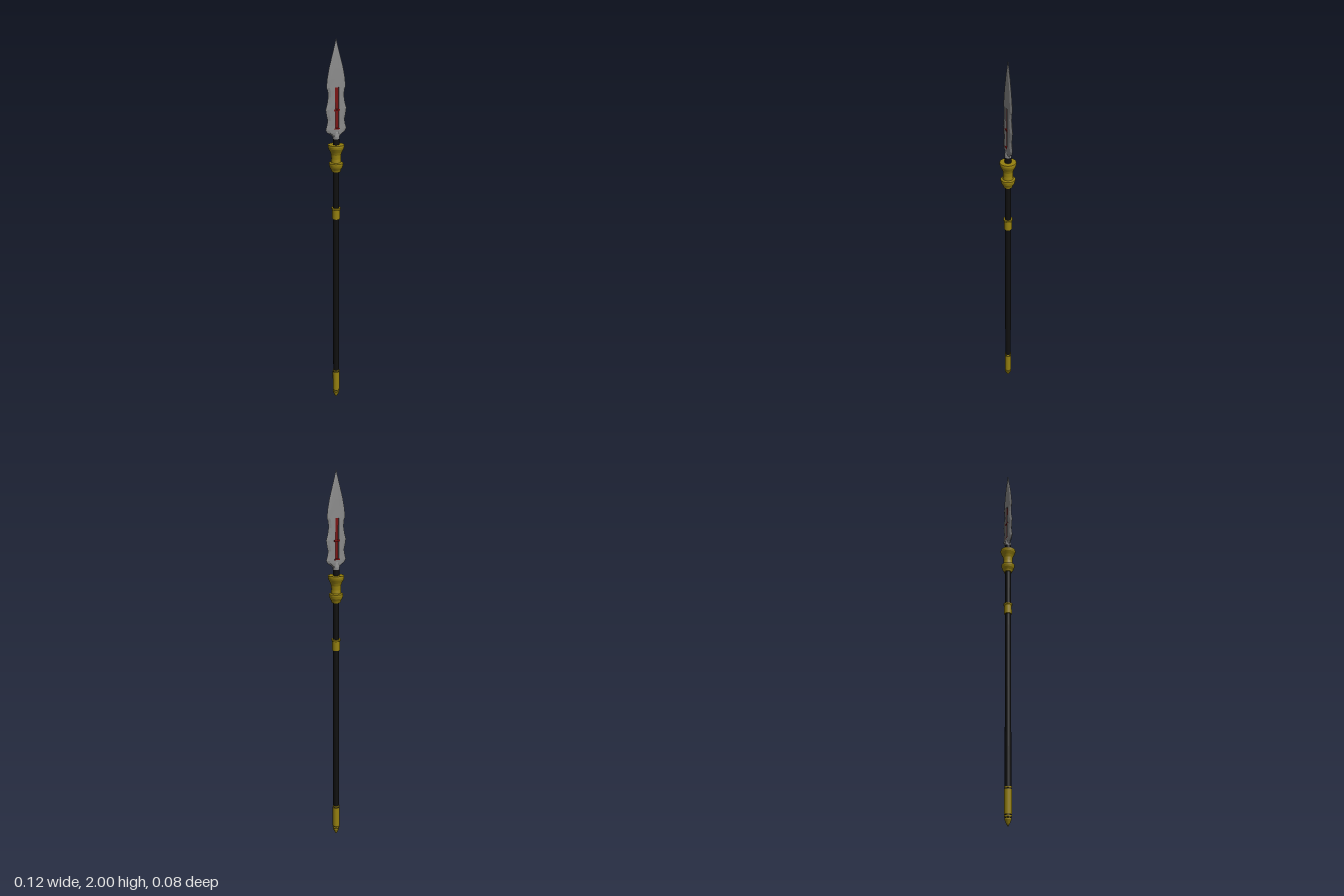
import * as THREE from 'three';

const material = (name, color, extra = {}) =>
  Object.assign(new THREE.MeshStandardMaterial({ color, ...extra }), { name });

// Lathe with crisp bands: each profile segment keeps its own smooth normals
function turned(name, profile, mat) {
  const group = new THREE.Group();
  group.name = name;
  for (let i = 0; i + 1 < profile.length; i++) {
    const pts = [profile[i], profile[i + 1]].map(([r, y]) => new THREE.Vector2(r, y));
    const mesh = new THREE.Mesh(new THREE.LatheGeometry(pts, 24), mat);
    mesh.name = name + 'Band';
    group.add(mesh);
  }
  return group;
}

// Blade outline rows: height, half width, thickness at the bevel, thickness at the ridge
const ROWS = [
  [1.515, 0.012, 0.006, 0.011], [1.535, 0.026, 0.007, 0.011], [1.55, 0.05, 0.007, 0.011],
  [1.565, 0.058, 0.007, 0.011], [1.585, 0.052, 0.007, 0.01], [1.61, 0.047, 0.007, 0.01],
  [1.635, 0.053, 0.007, 0.01], [1.665, 0.058, 0.007, 0.01], [1.69, 0.05, 0.007, 0.01],
  [1.725, 0.044, 0.007, 0.009], [1.755, 0.046, 0.007, 0.009], [1.77, 0.053, 0.006, 0.009],
  [1.81, 0.049, 0.006, 0.008], [1.86, 0.039, 0.005, 0.007], [1.92, 0.022, 0.004, 0.005],
  [1.965, 0.009, 0.002, 0.003], [2.0, 0, 0, 0],
];
const SLOT = 0.01, SLOT_FIRST = 3, SLOT_LAST = 11;

function bladeGeometry() {
  const pos = [];
  const quad = (a, b, c, d) => pos.push(...a, ...b, ...c, ...a, ...c, ...d);
  // Points across one face, from -x to +x
  const across = ([y, w, t, m], side) => {
    const s = Math.min(SLOT, w * 0.35);
    return [[-w, y, 0], [-w * 0.72, y, t * side], [-s, y, m * side],
      [s, y, m * side], [w * 0.72, y, t * side], [w, y, 0]];
  };
  for (let i = 0; i + 1 < ROWS.length; i++) {
    const inSlot = i >= SLOT_FIRST && i < SLOT_LAST;
    for (const side of [1, -1]) {
      const lo = across(ROWS[i], side), hi = across(ROWS[i + 1], side);
      for (let k = 0; k < 5; k++) {
        if (k === 2 && inSlot) continue;
        if (side > 0) quad(lo[k], lo[k + 1], hi[k + 1], hi[k]);
        else quad(lo[k + 1], lo[k], hi[k], hi[k + 1]);
      }
    }
    // Inner walls of the slot
    if (inSlot) {
      const f0 = across(ROWS[i], 1), f1 = across(ROWS[i + 1], 1);
      const b0 = across(ROWS[i], -1), b1 = across(ROWS[i + 1], -1);
      quad(f0[2], f1[2], b1[2], b0[2]);
      quad(f0[3], b0[3], b1[3], f1[3]);
    }
  }
  // Slot ends
  for (const i of [SLOT_FIRST, SLOT_LAST]) {
    const f = across(ROWS[i], 1), b = across(ROWS[i], -1);
    quad(f[2], f[3], b[3], b[2]);
  }
  const g = new THREE.BufferGeometry();
  g.setAttribute('position', new THREE.Float32BufferAttribute(pos, 3));
  g.computeVertexNormals();
  return g;
}

export function createModel() {
  const model = new THREE.Group();
  model.name = 'spear';
  const steel = material('steel', 0x8a8a8a, { side: THREE.DoubleSide });
  const gold = material('gold', 0x95800f);
  const black = material('black', 0x101010);
  const red = material('darkRed', 0x7a1212);

  const add = (name, geometry, mat, y = 0) => {
    const mesh = new THREE.Mesh(geometry, mat);
    mesh.name = name;
    mesh.position.y = y;
    model.add(mesh);
  };

  // Shaft
  add('shaft', new THREE.CylinderGeometry(0.016, 0.016, 1.49, 24), black, 0.785);

  // Pointed butt cap with dark grooves
  model.add(turned('buttCap', [[0, 0], [0.008, 0.012], [0.017, 0.032], [0.017, 0.038], [0, 0.038]], gold));
  model.add(turned('buttSleeve', [[0, 0.056], [0.019, 0.056], [0.019, 0.172], [0, 0.172]], gold));
  for (const [y, h, r] of [[0.041, 0.006, 0.015], [0.0535, 0.005, 0.017], [0.175, 0.006, 0.017]])
    add('buttGroove', new THREE.CylinderGeometry(r, r, h, 24), black, y);
  model.add(turned('buttRing', [[0, 0.044], [0.019, 0.044], [0.019, 0.051], [0, 0.051]], gold));
  model.add(turned('buttTopRing', [[0, 0.178], [0.018, 0.178], [0.018, 0.184], [0, 0.184]], gold));

  // Grip ring
  model.add(turned('gripRing', [[0, 1.095], [0.02, 1.095], [0.02, 1.143],
    [0.024, 1.149], [0.024, 1.155], [0, 1.155]], gold));

  // Double-flared collar
  model.add(turned('collar', [[0, 1.348], [0.022, 1.348], [0.025, 1.358], [0.033, 1.372],
    [0.036, 1.384], [0.036, 1.393], [0.026, 1.397], [0.024, 1.415], [0.025, 1.436],
    [0.03, 1.45], [0.039, 1.468], [0.041, 1.478], [0.04, 1.487], [0, 1.487]], gold));

  // Blade, socket and inlay
  model.add(turned('bladeSocket', [[0, 1.517], [0.017, 1.517], [0.017, 1.53],
    [0.013, 1.55], [0.004, 1.565], [0, 1.566]], steel));
  add('blade', bladeGeometry(), steel);
  add('bladeInlay', new THREE.BoxGeometry(0.02, 0.205, 0.008), red, 1.6675);
  add('inlayCrossbar', new THREE.BoxGeometry(0.034, 0.008, 0.0205), red, 1.66);
  add('inlayFoot', new THREE.BoxGeometry(0.03, 0.006, 0.0225), red, 1.568);

  return model;
}
